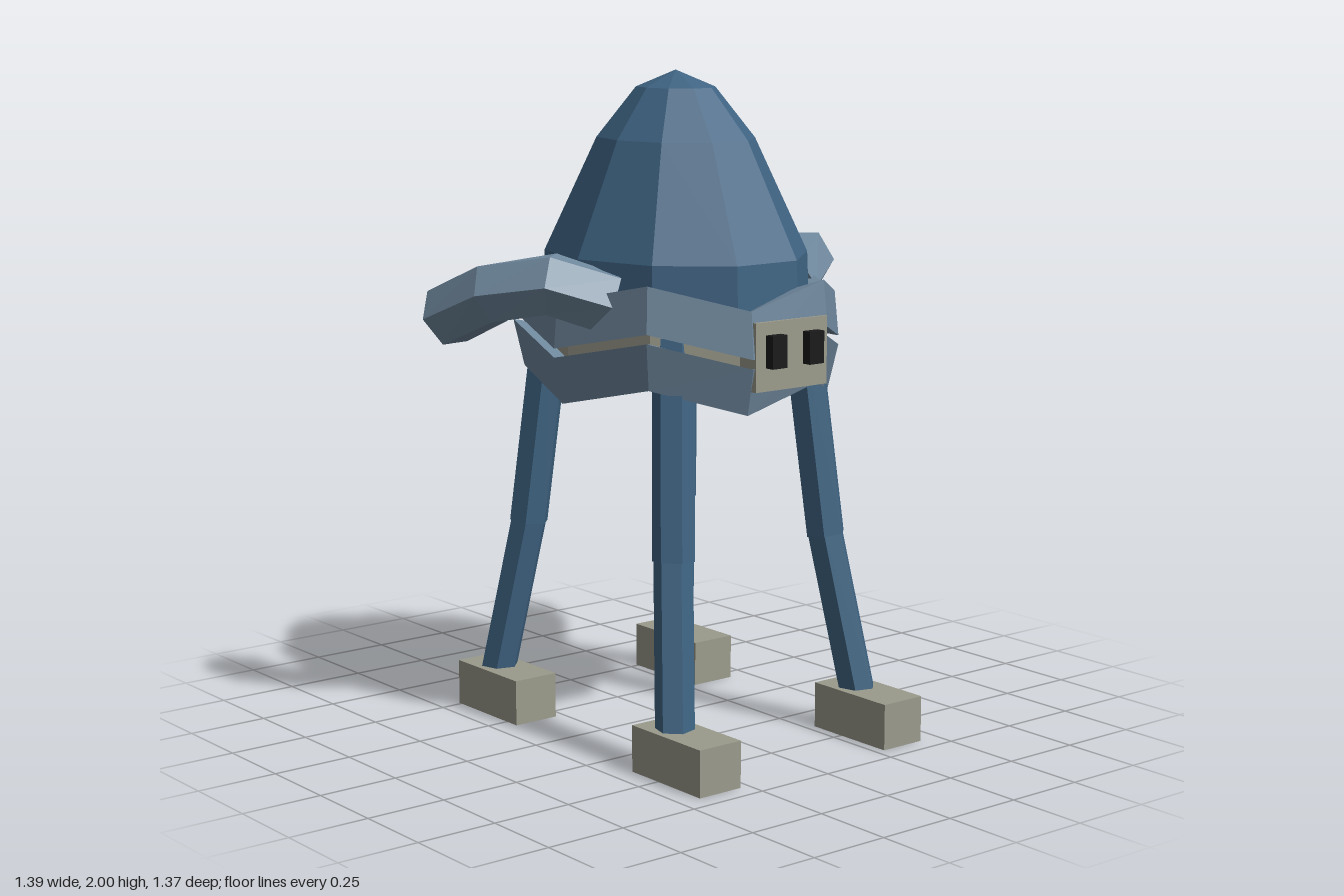
import * as THREE from 'three';

const material = (color, side = THREE.FrontSide) =>
  new THREE.MeshStandardMaterial({ color, flatShading: true, side });
const BLUE = material(0x3f6483);
const SHELL = material(0x3f6483, THREE.DoubleSide);
const SLATE = material(0x70899e);
const STONE = material(0x9b9b8c);
const BLACK = material(0x1a1a1a);

const BODY_Z = 0.045;   // the body sits slightly forward
const STRETCH = 1.22;   // the body is longer than wide

function build(positions, index) {
  const indexed = new THREE.BufferGeometry();
  indexed.setAttribute('position', new THREE.Float32BufferAttribute(positions, 3));
  indexed.setIndex(index);
  const g = indexed.toNonIndexed();
  g.computeVertexNormals();
  return g;
}

// Prism with n sides swept through points; up sets the roll
function limb(points, radius, up, sides = 6) {
  const pts = points.map(p => new THREE.Vector3(...p));
  const last = pts.length - 1;
  const upVec = new THREE.Vector3(...up);
  const pos = [], idx = [];
  pts.forEach((p, i) => {
    const dir = (a, b) => pts[b].clone().sub(pts[a]).normalize();
    const t = dir(Math.max(i - 1, 0), Math.min(i, last - 1) + (i === 0 ? 1 : 0) || 1);
    if (i > 0 && i < last) t.copy(dir(i - 1, i)).add(dir(i, i + 1)).normalize();
    if (i === last) t.copy(dir(last - 1, last));
    const s = t.clone().cross(upVec).normalize();
    const u = s.clone().cross(t);
    for (let j = 0; j < sides; j++) {
      const a = (j / sides) * Math.PI * 2;
      const v = p.clone().addScaledVector(s, radius * Math.cos(a)).addScaledVector(u, radius * Math.sin(a));
      pos.push(v.x, v.y, v.z);
    }
  });
  for (let i = 0; i < last; i++)
    for (let j = 0; j < sides; j++) {
      const k = (j + 1) % sides;
      const a = i * sides + j, b = i * sides + k, c = b + sides, d = a + sides;
      idx.push(a, c, b, a, d, c);
    }
  for (let j = 1; j < sides - 1; j++) {
    idx.push(0, j, j + 1);
    const e = last * sides;
    idx.push(e, e + j + 1, e + j);
  }
  return build(pos, idx);
}

// Ten-sided zigzag ring; section corners run outer top, outer bottom, inner bottom, inner top
function zigzagRing(section) {
  const n = 10, m = section.length, pos = [], idx = [];
  for (let i = 0; i < n; i++) {
    const a = (i / n) * Math.PI * 2;
    const drop = i % 2 ? 0.07 : 0;
    for (const [r, y] of section)
      pos.push(r * Math.cos(a), y - drop, BODY_Z + r * STRETCH * Math.sin(a));
    for (let j = 0; j < m; j++) {
      const k = (j + 1) % m, next = ((i + 1) % n) * m;
      const A = i * m + j, B = i * m + k, C = next + k, D = next + j;
      idx.push(A, C, B, A, D, C);
    }
  }
  return build(pos, idx);
}

export function createModel() {
  const group = new THREE.Group();
  const add = (name, geometry, mat, x = 0, y = 0, z = 0) => {
    const mesh = new THREE.Mesh(geometry, mat);
    mesh.name = name;
    mesh.position.set(x, y, z);
    group.add(mesh);
    return mesh;
  };

  // Hollow dome
  const profile = [[0.36, 1.2], [0.372, 1.33], [0.367, 1.46], [0.22, 1.8], [0.11, 1.95], [0, 2]]
    .map(([r, y]) => new THREE.Vector2(r, y));
  const dome = add('dome', new THREE.LatheGeometry(profile, 10, Math.PI / 2), SHELL, 0, 0, BODY_Z);
  dome.scale.z = STRETCH - 0.01;

  // Zigzag bands with a pale ring between them
  add('upperBand', zigzagRing([[0.443, 1.412], [0.455, 1.275], [0.375, 1.29], [0.36, 1.38]]), SLATE);
  add('lowerBand', zigzagRing([[0.455, 1.248], [0.425, 1.108], [0.365, 1.135], [0.375, 1.235]]), SLATE);
  add('innerRing', zigzagRing([[0.405, 1.31], [0.405, 1.19], [0.355, 1.19], [0.355, 1.31]]), STONE);

  // Face plate and eyes
  add('facePlate', new THREE.BoxGeometry(0.27, 0.2, 0.11), STONE, 0, 1.21, 0.522);
  for (const s of [1, -1])
    add(s > 0 ? 'leftEye' : 'rightEye', new THREE.BoxGeometry(0.055, 0.095, 0.05), BLACK, s * 0.07, 1.225, 0.582);

  // Tail
  add('tail', limb([[0, 1.34, -0.33], [0, 1.03, -0.632]], 0.07, [0, 1, 0]), BLUE);

  for (const s of [1, -1]) {
    const side = s > 0 ? 'left' : 'right';

    // Arms curving outwards and back
    add(side + 'Arm', limb([
      [s * 0.34, 1.34, 0.165], [s * 0.485, 1.4, 0.075],
      [s * 0.57, 1.365, -0.09], [s * 0.597, 1.275, -0.297],
    ], 0.097, [0, 1, 0]), SLATE);
    add(side + 'Shoulder', new THREE.BoxGeometry(0.12, 0.1, 0.17), BLUE, s * 0.355, 1.29, 0);

    // Two-part legs on block feet
    for (const f of [1, -1]) {
      const name = side + (f > 0 ? 'Front' : 'Back');
      const at = (x, y, z) => [s * x, y, BODY_Z + f * z];
      const out = [s, 0, f];
      add(name + 'UpperLeg', limb([at(0.245, 1.25, 0.295), at(0.295, 0.61, 0.358)], 0.062, out), BLUE);
      add(name + 'LowerLeg', limb([at(0.293, 0.63, 0.354), at(0.357, 0.12, 0.442)], 0.058, out), BLUE);
      add(name + 'Foot', new THREE.BoxGeometry(0.15, 0.14, 0.31), STONE, s * 0.355, 0.07, f > 0 ? 0.535 : -0.355);
    }
  }
  return group;
}
